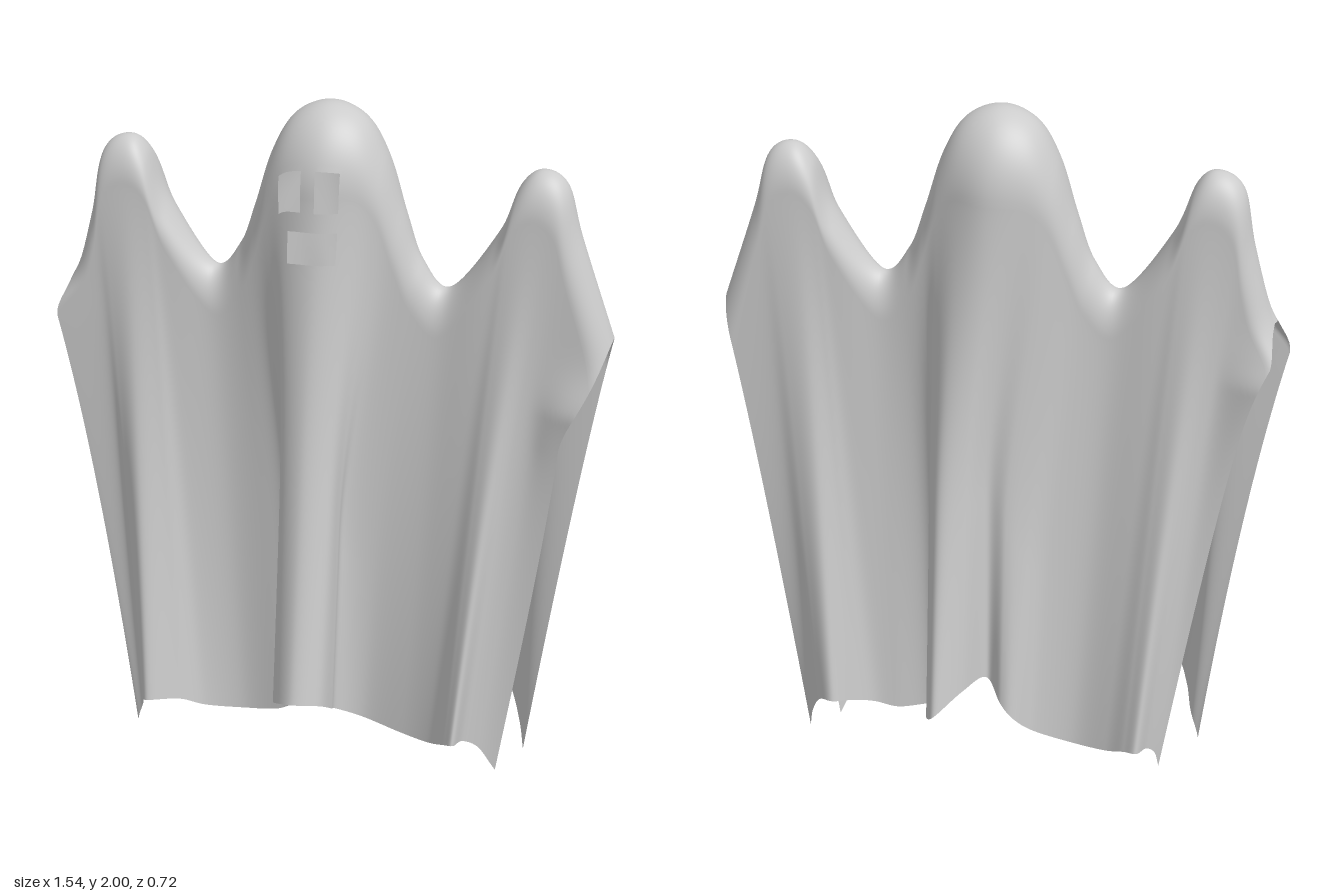
import * as THREE from 'three';

// Matching stations from the -x side to the +x side: ridge (x,y), front hem and back hem (x,y,z)
const RIDGE = [
  [-0.725, 1.46], [-0.665, 1.67], [-0.63, 1.82], [-0.565, 1.865], [-0.51, 1.83], [-0.455, 1.69],
  [-0.33, 1.52], [-0.25, 1.59], [-0.2, 1.72], [-0.15, 1.87], [-0.09, 1.965], [0, 2],
  [0.09, 1.965], [0.15, 1.87], [0.2, 1.72], [0.25, 1.59], [0.33, 1.52],
  [0.455, 1.69], [0.505, 1.82], [0.56, 1.865], [0.625, 1.83], [0.67, 1.69], [0.77, 1.42],
];
const FRONT_HEM = [
  [-0.58, 0.02, 0.07], [-0.56, 0.1, 0.09], [-0.54, 0.16, 0.15], [-0.5, 0.2, 0.21], [-0.42, 0.18, 0.15], [-0.36, 0.13, 0.09],
  [-0.25, 0.12, 0.06], [-0.14, 0.15, 0.08], [-0.08, 0.2, 0.11], [-0.08, 0.26, 0.2], [-0.08, 0.33, 0.3], [-0.01, 0.37, 0.355],
  [0.06, 0.35, 0.31], [0.065, 0.27, 0.2], [0.05, 0.2, 0.1], [0.12, 0.15, 0.05], [0.24, 0.13, 0.07],
  [0.33, 0.14, 0.11], [0.39, 0.18, 0.165], [0.42, 0.19, 0.175], [0.43, 0.15, 0.09], [0.47, 0.1, 0.04], [0.52, 0, 0],
];
const BACK_HEM = [
  [-0.49, 0.02, -0.09], [-0.48, 0.09, -0.12], [-0.46, 0.14, -0.17], [-0.44, 0.17, -0.24], [-0.4, 0.16, -0.225], [-0.34, 0.13, -0.19],
  [-0.24, 0.12, -0.16], [-0.13, 0.16, -0.18], [-0.08, 0.23, -0.23], [-0.04, 0.28, -0.23], [0.01, 0.34, -0.19], [0.06, 0.35, -0.29],
  [0.13, 0.3, -0.36], [0.17, 0.24, -0.27], [0.165, 0.18, -0.15], [0.2, 0.14, -0.08], [0.3, 0.12, -0.09],
  [0.37, 0.14, -0.105], [0.42, 0.17, -0.15], [0.47, 0.2, -0.21], [0.52, 0.18, -0.18], [0.56, 0.1, -0.13], [0.58, 0.02, -0.1],
];

const COLS = 264, CAP = 18, FALL = 86, SIDE = CAP + FALL;
const MID_Z = -0.02;
const { lerp, smoothstep } = THREE.MathUtils;

const curve = (pts) => new THREE.CatmullRomCurve3(
  pts.map(([x, y, z = 0]) => new THREE.Vector3(x, y, z)), false, 'catmullrom', 0.5);

// A bulge centred at height c, short above it and trailing off below it
const flare = (y, c, above, below) =>
  y > c ? Math.exp(-(((y - c) / above) ** 2)) : Math.exp((y - c) / below);

// How the loose side edges swing away from a straight fall: [dx, dz]
function edgeSwing(left, sign, y) {
  if (left) return sign > 0
    ? [-0.065 * flare(y, 1.34, 0.09, 0.7), 0]
    : [-0.03 * flare(y, 1.36, 0.08, 0.1), -0.03 * flare(y, 1.3, 0.1, 0.2)];
  return sign > 0
    ? [-0.05 * flare(y, 1.12, 0.16, 0.5), 0.03 * flare(y, 1.22, 0.1, 0.15)]
    : [0, 0];
}

// A point k rows down from the ridge: a rounded shoulder, then a fall to the hem
function drape(t, r, hem, sign, k) {
  const head = Math.exp(-((r.x / (r.x > 0 ? 0.14 : 0.165)) ** 2));
  const saddle = Math.exp(-(((Math.abs(r.x) - 0.31) / 0.1) ** 2));
  const depth = 0.073 + 0.082 * head - 0.015 * saddle, drop = 0.12 + 0.1 * head;
  let y, z;
  if (k <= CAP) {
    const a = (k / CAP) * Math.PI / 2;
    y = r.y - drop * (1 - Math.cos(a));
    z = MID_Z + sign * depth * Math.sin(a);
  } else {
    const w = ((k - CAP) / FALL) ** 1.3;
    y = lerp(r.y - drop, hem.y, w);
    z = lerp(MID_Z + sign * depth, hem.z, w ** 1.25);
  }
  // Folds below the head gather sooner than the rest of the cloth
  const f = Math.max(0, (r.y - y) / (r.y - hem.y));
  const gather = lerp(f ** 0.85, smoothstep(f, 0, 0.65), Math.exp(-((r.x / 0.24) ** 4)));
  const edge = Math.exp(-(((1 - Math.abs(2 * t - 1)) / 0.07) ** 2));
  const [dx, dz] = edgeSwing(t < 0.5, sign, y);
  return [lerp(r.x, hem.x, gather) + dx * edge, y, z + dz * edge];
}

// Eye and mouth openings: x along the ridge, y down the middle of the face
function inFace(x, y) {
  const eye = y > 1.745 && y < 1.845 && ((x > 0.002 && x < 0.06) || (x > -0.105 && x < -0.042));
  const mouth = x > -0.075 && x < 0.06 && y > 1.605 && y < 1.69;
  return eye || mouth;
}

export function createModel() {
  const ridge = curve(RIDGE), front = curve(FRONT_HEM), back = curve(BACK_HEM);
  const rows = SIDE * 2, stride = COLS + 1;
  const pos = new Float32Array((rows + 1) * stride * 3);

  // One continuous cloth: front hem, up over the ridge, down to the back hem
  for (let i = 0; i <= COLS; i++) {
    const t = i / COLS;
    const r = ridge.getPoint(t), f = front.getPoint(t), b = back.getPoint(t);
    for (let j = 0; j <= rows; j++) {
      const isFront = j <= SIDE;
      pos.set(drape(t, r, isFront ? f : b, isFront ? 1 : -1, Math.abs(j - SIDE)), (j * stride + i) * 3);
    }
  }

  const index = [];
  for (let j = 0; j < rows; j++) {
    const middleY = pos[(j * stride + COLS / 2) * 3 + 1];
    for (let i = 0; i < COLS; i++) {
      if (j < SIDE && inFace(ridge.getPoint((i + 0.5) / COLS).x, middleY)) continue;
      const a = j * stride + i, b = a + 1, c = b + stride, d = a + stride;
      index.push(a, b, c, a, c, d);
    }
  }

  const geometry = new THREE.BufferGeometry();
  geometry.setAttribute('position', new THREE.BufferAttribute(pos, 3));
  geometry.setIndex(index);
  geometry.computeVertexNormals();

  const sheet = new THREE.Mesh(geometry,
    new THREE.MeshStandardMaterial({ color: 0xcccccc, side: THREE.DoubleSide }));
  sheet.name = 'drapedSheet';

  const group = new THREE.Group();
  group.name = 'ghost';
  group.add(sheet);
  return group;
}
